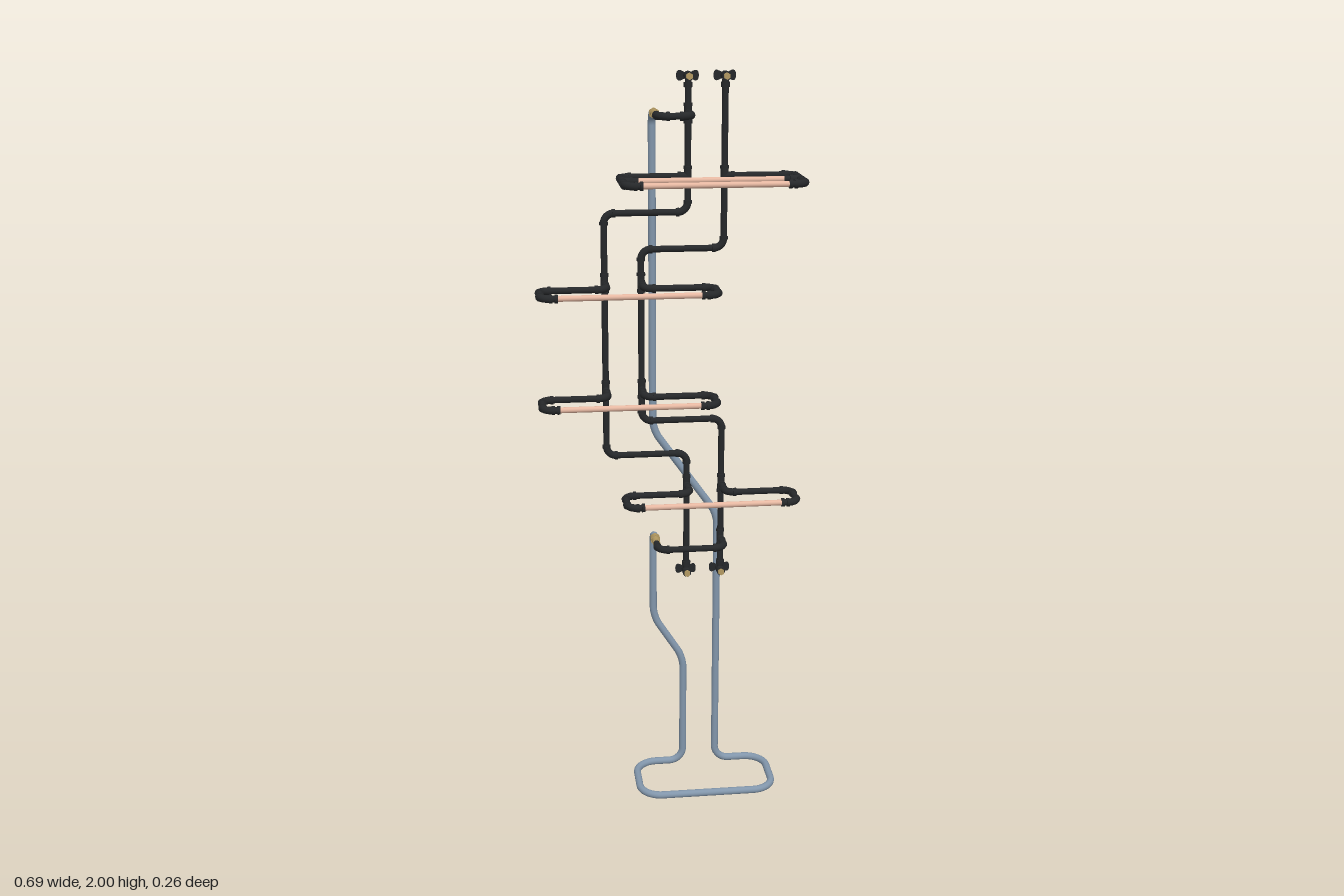
import * as THREE from 'three';

const V = (x, y, z) => new THREE.Vector3(x, y, z);
const mat = (color) => new THREE.MeshStandardMaterial({ color });
const BLACK = mat(0x26282a), BLUE = mat(0x8296ab), COPPER = mat(0xe6b8a2), BRASS = mat(0xb39a62);

const ZR = -0.057; // plane of the risers
const ZM = 0.022; // plane of the arm offsets
const R = 0.0085; // iron pipe radius

function add(parent, name, geometry, material) {
  const m = new THREE.Mesh(geometry, material);
  m.name = name;
  parent.add(m);
  return m;
}

// Cylinder between two points
function rod(parent, name, a, b, r, material, sides = 16) {
  const d = b.clone().sub(a);
  const m = add(parent, name, new THREE.CylinderGeometry(r, r, d.length(), sides), material);
  m.position.copy(a).addScaledVector(d, 0.5);
  m.quaternion.setFromUnitVectors(V(0, 1, 0), d.normalize());
  return m;
}

// Raised ring around a pipe
function collar(parent, p, dir, r = 0.0112, len = 0.008) {
  const h = dir.clone().multiplyScalar(len / 2);
  rod(parent, 'collar', p.clone().sub(h), p.clone().add(h), r, BLACK);
}

// Straight runs joined by rounded bends; fittings add elbow collars
function pipe(parent, name, pts, { r = R, bends = 0.026, material = BLACK, fittings = true } = {}) {
  const g = new THREE.Group();
  g.name = name;
  parent.add(g);
  let from = pts[0];
  for (let i = 1; i < pts.length; i++) {
    const p = pts[i];
    const inDir = p.clone().sub(pts[i - 1]).normalize();
    if (i === pts.length - 1) {
      rod(g, 'straightPipe', from, p, r, material);
      break;
    }
    const outDir = pts[i + 1].clone().sub(p).normalize();
    const s = Array.isArray(bends) ? bends[i - 1] : bends;
    const at = (dir, k) => p.clone().addScaledVector(dir, k * s);
    const a = at(inDir, -1), b = at(outDir, 1);
    rod(g, 'straightPipe', from, a, r, material);
    const curve = new THREE.CubicBezierCurve3(a, at(inDir, -0.45), at(outDir, 0.45), b);
    add(g, 'bend', new THREE.TubeGeometry(curve, 12, fittings ? r + 0.0013 : r, 16), material);
    if (fittings) {
      collar(g, a, inDir);
      collar(g, b, outDir);
    }
    from = b;
  }
  return g;
}

// Tee: sleeve along the main pipe and a socket on the branch
function tee(parent, p, main, branch) {
  const g = new THREE.Group();
  g.name = 'tee';
  parent.add(g);
  const off = (dir, k) => p.clone().addScaledVector(dir, k);
  rod(g, 'sleeve', off(main, -0.022), off(main, 0.022), 0.0098, BLACK);
  rod(g, 'socket', p, off(branch, 0.022), 0.0098, BLACK);
  collar(g, off(main, -0.022), main);
  collar(g, off(main, 0.022), main);
  collar(g, off(branch, 0.022), branch);
}

// Valve closing a riser end, with a two-lobed handle behind it
function valve(parent, x, y, up) {
  const g = new THREE.Group();
  g.name = 'valve';
  g.position.set(x, y, 0);
  parent.add(g);
  rod(g, 'valveBody', V(0, 0, -0.068), V(0, 0, -0.036), 0.0115, BLACK);
  rod(g, 'valveOutlet', V(0, 0, -0.037), V(0, 0, -0.028), 0.009, BRASS, 6);
  rod(g, 'valveStem', V(0, 0, -0.074), V(0, 0, -0.066), 0.006, BRASS);
  collar(g, V(0, -up * 0.022, ZR), V(0, 1, 0), 0.0115, 0.012);
  const s = new THREE.Shape();
  s.moveTo(0, 0.007);
  s.bezierCurveTo(0.012, 0.007, 0.014, 0.013, 0.022, 0.013);
  s.bezierCurveTo(0.031, 0.013, 0.031, -0.013, 0.022, -0.013);
  s.bezierCurveTo(0.014, -0.013, 0.012, -0.007, 0, -0.007);
  s.bezierCurveTo(-0.012, -0.007, -0.014, -0.013, -0.022, -0.013);
  s.bezierCurveTo(-0.031, -0.013, -0.031, 0.013, -0.022, 0.013);
  s.bezierCurveTo(-0.014, 0.013, -0.012, 0.007, 0, 0.007);
  const geo = new THREE.ExtrudeGeometry(s, { depth: 0.004, bevelEnabled: false, curveSegments: 8 });
  add(g, 'valveHandle', geo, BLACK).position.z = -0.074;
}

// One rail: two arms from the risers holding copper rods
function rail(parent, name, y, ends, risers, straightBack) {
  const g = new THREE.Group();
  g.name = name;
  parent.add(g);
  const zf = straightBack ? 0.114 : 0.118, inset = 0.04;
  ends.forEach((xe, i) => {
    const xr = risers[i], inward = i === 0 ? 1 : -1;
    const xi = xe + inward * inset;
    const start = V(xr, y, ZR);
    const tail = [V(xe, y, zf), V(xi, y, zf)];
    const path = straightBack
      ? [start, V(xe, y, ZR), ...tail]
      : [start, V(xr, y, ZM), V(xe, y, ZM), ...tail];
    pipe(g, 'railArm', path);
    tee(g, start, V(0, 1, 0), straightBack ? V(-inward, 0, 0) : V(0, 0, 1));
    collar(g, V(xi, y, zf), V(1, 0, 0));
    if (straightBack) {
      tee(g, V(xe, y, 0.026), V(0, 0, 1), V(inward, 0, 0));
      rod(g, 'stub', V(xe, y, 0.026), V(xi, y, 0.026), R, BLACK);
    }
  });
  for (const z of straightBack ? [0.026, zf] : [zf])
    rod(g, 'copperRod', V(ends[0] + inset, y, z), V(ends[1] - inset, y, z), 0.0076, COPPER);
}

// Loop from a riser round to a brass union on the stand tube
function feed(parent, name, y, xr) {
  const g = new THREE.Group();
  g.name = name;
  parent.add(g);
  const x = -0.028;
  pipe(g, 'feedPipe', [V(xr, y, ZR), V(xr, y, ZM), V(x, y, ZM), V(x, y, -0.035)]);
  tee(g, V(xr, y, ZR), V(0, 1, 0), V(0, 0, 1));
  rod(g, 'unionSleeve', V(x, y, -0.062), V(x, y, -0.03), 0.0108, BRASS);
  rod(g, 'unionNut', V(x, y, -0.074), V(x, y, -0.056), 0.0138, BRASS, 6);
}

export function createModel() {
  const model = new THREE.Group();
  model.name = 'pipeRack';

  // Bent stand tube with its base loop, in one run
  const zb = -0.122, y0 = 0.0105, xs = -0.028;
  pipe(model, 'standTube', [
    V(xs, 1.895, -0.065), V(xs, 1.895, zb), V(xs, 1.04, zb), V(0.153, 0.785, zb),
    V(0.153, y0, zb), V(0.298, y0, zb), V(0.298, y0, 0.07), V(-0.082, y0, 0.07),
    V(-0.082, y0, zb), V(0.058, y0, zb), V(0.058, 0.345, zb), V(xs, 0.48, zb),
    V(xs, 0.74, zb), V(xs, 0.74, -0.065),
  ], {
    r: 0.0102, material: BLUE, fittings: false,
    bends: [0.035, 0.03, 0.03, 0.04, 0.06, 0.06, 0.06, 0.06, 0.04, 0.03, 0.03, 0.035],
  });

  // Two stepped risers with a valve at each end
  const yTop = 1.987, yBottom = 0.645;
  for (const [x, xIn, yHigh, yLow] of [[0.058, -0.16, 1.645, 0.99], [0.153, -0.064, 1.55, 1.085]]) {
    pipe(model, 'riser', [
      V(x, yTop, ZR), V(x, yHigh, ZR), V(xIn, yHigh, ZR),
      V(xIn, yLow, ZR), V(x, yLow, ZR), V(x, yBottom, ZR),
    ]);
    valve(model, x, yTop, 1);
    valve(model, x, yBottom, -1);
  }

  // Four rails, the top one with two rods
  const outer = [0.058, 0.153], inner = [-0.16, -0.064];
  rail(model, 'topRail', 1.737, [-0.118, 0.333], outer, true);
  rail(model, 'upperRail', 1.463, [-0.333, 0.117], inner, false);
  rail(model, 'lowerRail', 1.174, [-0.333, 0.117], inner, false);
  rail(model, 'bottomRail', 0.9, [-0.118, 0.333], outer, false);

  // Feeds joining the risers to the stand tube
  feed(model, 'upperFeed', 1.895, 0.058);
  feed(model, 'lowerFeed', 0.74, 0.153);
  return model;
}
